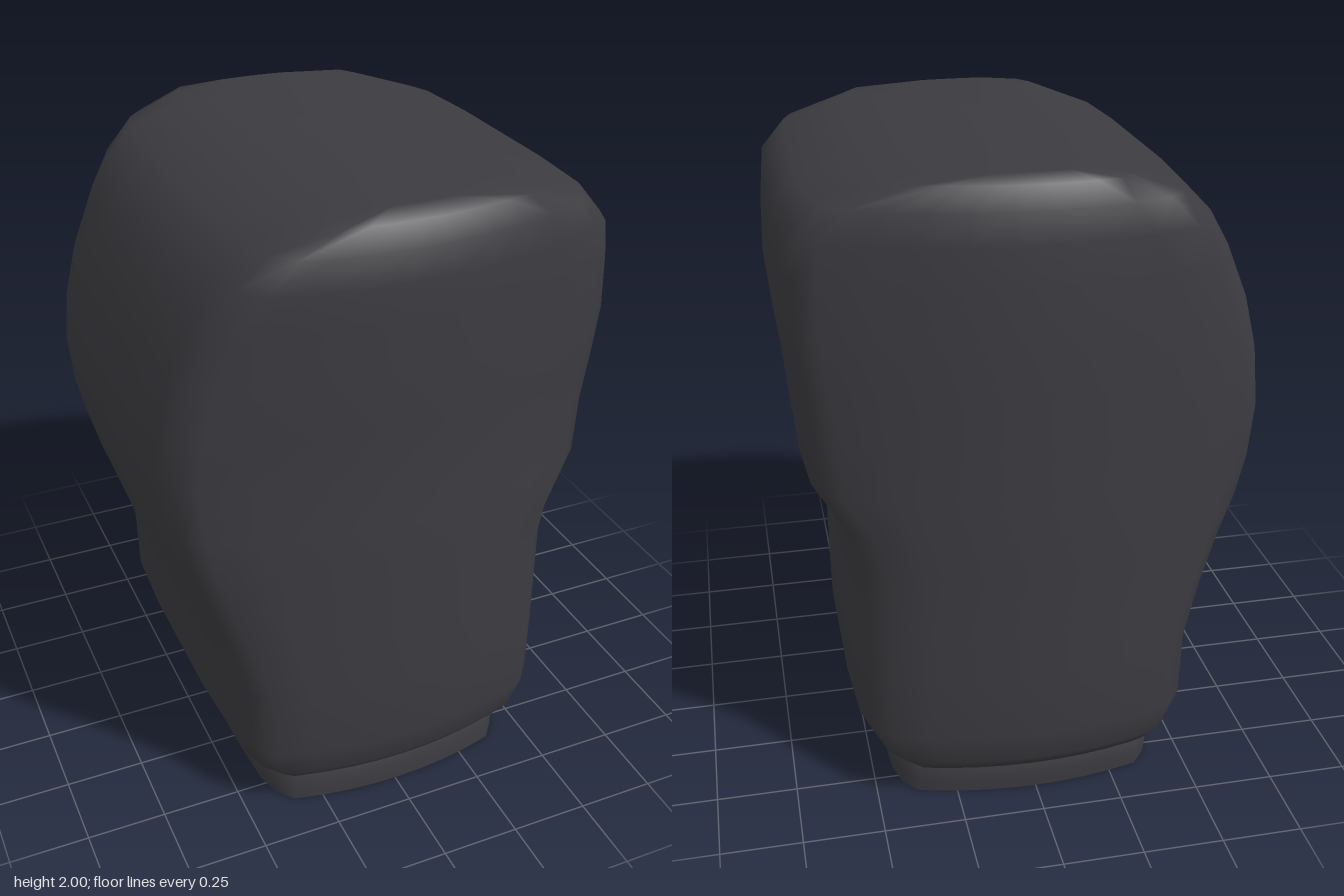
import * as THREE from 'three';

// Horizontal sections: height, side limits in x, and inset of the front and back
const SECTIONS = [
  [0.09, -0.40, 0.43, 0.09, 0.09], [0.12, -0.43, 0.45, 0.06, 0.06],
  [0.16, -0.48, 0.50, 0.03, 0.03], [0.26, -0.52, 0.55, 0.005, 0.01],
  [0.48, -0.525, 0.55, 0, 0.005], [0.66, -0.575, 0.55, 0, 0.005], [0.83, -0.63, 0.55, 0, 0.002],
  [0.95, -0.67, 0.585, 0, 0], [1.08, -0.70, 0.66, 0, 0],
  [1.25, -0.715, 0.675, 0.01, 0], [1.40, -0.70, 0.69, 0, 0],
  [1.56, -0.66, 0.71, 0, 0], [1.72, -0.595, 0.705, 0, 0.005],
  [1.83, -0.53, 0.695, 0.003, 0.01], [1.92, -0.44, 0.62, 0.015, 0.02],
  [1.98, -0.27, 0.41, 0.055, 0.055], [2.0, -0.10, 0.15, 0.12, 0.11],
];

const COLLAR = [
  [0, -0.42, 0.45, 0.08, 0.09], [0.05, -0.425, 0.45, 0.08, 0.085],
  [0.1, -0.41, 0.44, 0.09, 0.09], [0.14, -0.38, 0.41, 0.11, 0.11],
];

// Bowed front and back: depth falls off away from the middle
const depth = (x) => 0.725 - 0.12 * Math.min(1, (x / 0.57) ** 2);

// One closed ring: right side, front, left side, back
function ring([y, xl, xr, front, back]) {
  const w = Math.min(1, (xr - xl) / 1.1), pts = [];
  const corner = 0.1 * w;
  const side = (edge, inward, dir) => {
    for (const t of [-0.93, -0.8, -0.4, 0, 0.4, 0.8, 0.93]) {
      const z = t * dir;
      const x = edge + inward * w * (Math.abs(t) > 0.9 ? 0.045 : Math.abs(t) > 0.7 ? 0.015 : 0);
      pts.push([x, y, z * (depth(x) - (z > 0 ? front : back))]);
    }
  };
  const face = (from, to, sign, inset) => {
    for (let i = 0; i <= 8; i++) {
      const x = from + (to - from) * i / 8;
      pts.push([x, y, sign * (depth(x) - inset)]);
    }
  };
  side(xr, -1, 1);
  face(xr - corner, xl + corner, 1, front);
  side(xl, 1, -1);
  face(xl + corner, xr - corner, -1, back);
  return pts;
}

// Skin between rings, closed by a fan at the top
function loft(sections) {
  const rings = sections.map(ring), n = rings[0].length, index = [];
  for (let i = 0; i < rings.length - 1; i++) {
    for (let j = 0; j < n; j++) {
      const a = i * n + j, b = i * n + (j + 1) % n;
      index.push(a, a + n, b, b, a + n, b + n);
    }
  }
  const last = rings.length - 1, top = rings.length * n;
  const s = sections[last];
  for (let j = 0; j < n; j++) index.push(top, last * n + (j + 1) % n, last * n + j);
  const positions = [...rings.flat(), [(s[1] + s[2]) / 2, s[0], 0]].flat();
  return build(positions, index);
}

// Flat sole closing the lowest ring
function sole(section) {
  const pts = ring(section), n = pts.length, index = [];
  for (let j = 0; j < n; j++) index.push(n, j, (j + 1) % n);
  return build([...pts, [0, section[0], 0]].flat(), index);
}

function build(positions, index) {
  const g = new THREE.BufferGeometry();
  g.setAttribute('position', new THREE.Float32BufferAttribute(positions, 3));
  g.setIndex(index);
  g.computeVertexNormals();
  return g;
}

export function createModel() {
  const group = new THREE.Group();
  const charcoal = new THREE.MeshStandardMaterial({ color: 0x3c3b40 });
  charcoal.name = 'charcoal';
  const add = (name, geometry) => {
    const mesh = new THREE.Mesh(geometry, charcoal);
    mesh.name = name;
    group.add(mesh);
  };
  add('body', loft(SECTIONS));
  add('bodyUnderside', sole(SECTIONS[0]));
  add('collar', loft(COLLAR));
  add('base', sole(COLLAR[0]));
  return group;
}
